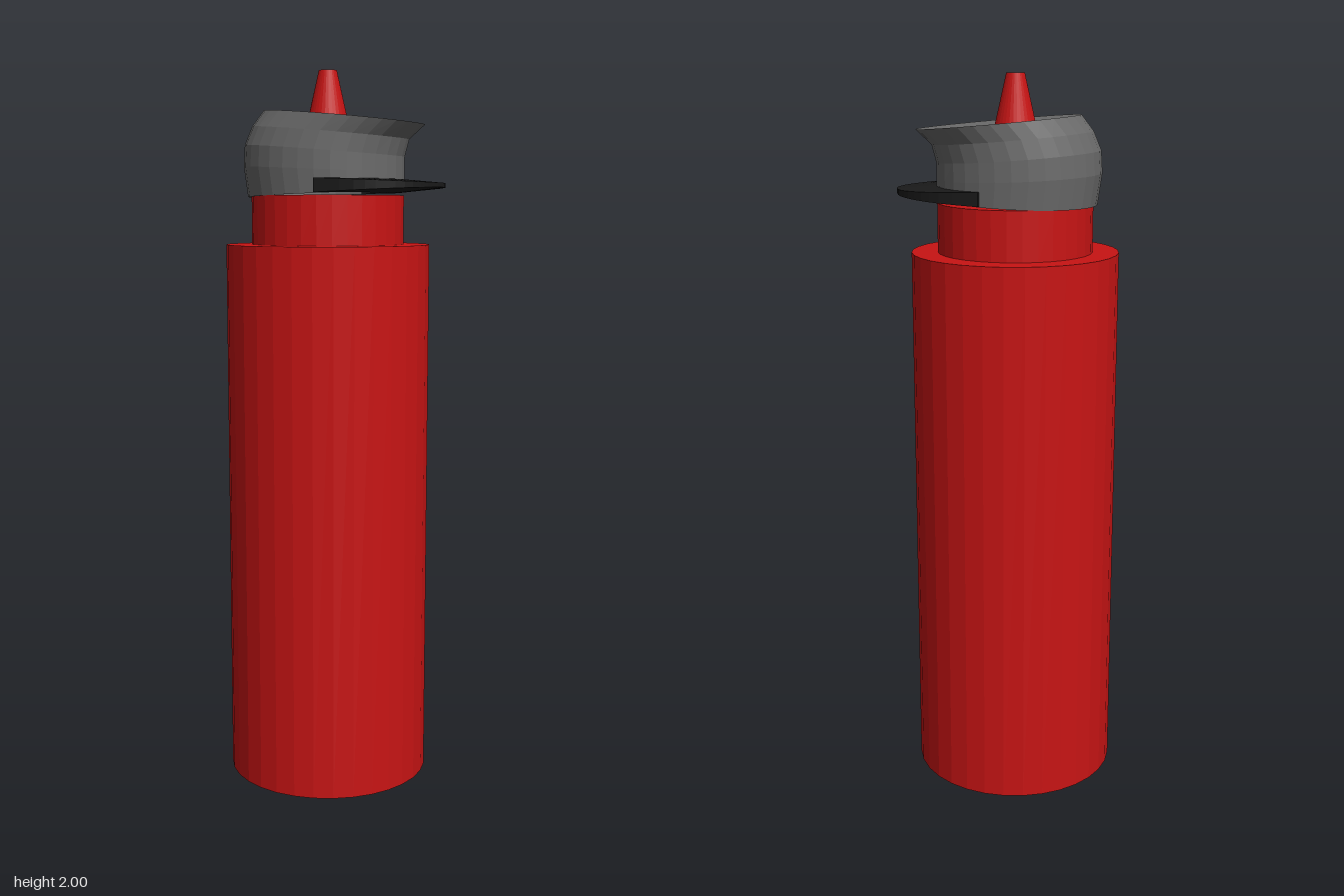
import * as THREE from 'three';

const AXIS = -0.025;
const material = (color) => new THREE.MeshStandardMaterial({ color, flatShading: true, side: THREE.DoubleSide });

// Closed rings of points, each joined to the next
function loft(rings, closed = false) {
  const n = rings[0].length, index = [];
  const count = closed ? rings.length : rings.length - 1;
  for (let r = 0; r < count; r++) {
    const s = (r + 1) % rings.length;
    for (let i = 0; i < n; i++) {
      const j = (i + 1) % n;
      const a = r * n + i, b = r * n + j, c = s * n + j, d = s * n + i;
      index.push(a, d, b, b, d, c);
    }
  }
  const geometry = new THREE.BufferGeometry();
  geometry.setAttribute('position', new THREE.Float32BufferAttribute(rings.flat(2), 3));
  geometry.setIndex(index);
  geometry.computeVertexNormals();
  return geometry;
}

// Tilted ellipse: x extents, heights at its two ends, half depth, z offset
function ring([x0, x1, y0, y1, rz, cz = 0], sides = 32) {
  return Array.from({ length: sides }, (_, i) => {
    const a = (i / sides) * Math.PI * 2, t = (1 + Math.cos(a)) / 2;
    return [x0 + (x1 - x0) * t, y0 + (y1 - y0) * t, cz + rz * Math.sin(a)];
  });
}

export function createModel() {
  const group = new THREE.Group();
  const red = material(0xc81414), grey = material(0x6a6a6a), black = material(0x1a1a1a);
  const add = (name, geometry, mat) => {
    const mesh = new THREE.Mesh(geometry, mat);
    mesh.name = name;
    group.add(mesh);
  };
  const round = (name, top, bottom, y0, y1) => {
    const geometry = new THREE.CylinderGeometry(top, bottom, y1 - y0, 32);
    geometry.rotateY(Math.PI / 2);
    geometry.translate(AXIS, (y0 + y1) / 2, 0);
    add(name, geometry, red);
  };

  // Bottle
  round('body', 0.285, 0.285, 0, 1.525);
  round('neck', 0.213, 0.213, 1.525, 1.66);
  round('nozzle', 0.025, 0.057, 1.86, 2);

  // Cap with flared rim and shallow dished top
  add('cap', loft([
    [-0.235, 0.18, 1.656, 1.672, 0.195],
    [-0.25, 0.19, 1.655, 1.672, 0.208],
    [-0.262, 0.19, 1.74, 1.72, 0.212],
    [-0.258, 0.19, 1.80, 1.765, 0.212],
    [-0.237, 0.202, 1.85, 1.812, 0.209, -0.003],
    [-0.205, 0.245, 1.893, 1.852, 0.211, -0.011],
    [-0.14, 0.17, 1.88, 1.85, 0.14, -0.015],
    [-0.07, 0.1, 1.872, 1.856, 0.08, -0.01],
    [0, 0, 1.866, 1.866, 0],
  ].map((r) => ring(r))), grey);

  // Crescent brim, wrapping the cap and thinning towards its edge
  const outer = new THREE.SplineCurve([
    [0.01, -0.214], [0.12, -0.209], [0.2, -0.18], [0.26, -0.13], [0.297, -0.06], [0.308, 0],
    [0.297, 0.06], [0.26, 0.13], [0.2, 0.18], [0.12, 0.209], [0.01, 0.214],
  ].map(([x, z]) => new THREE.Vector2(x, z))).getPoints(30);
  const profiles = outer.map((p, i) => {
    const a = (i / 30 - 0.5) * 2 * 1.4;
    const ix = AXIS + 0.2 * Math.cos(a), iz = 0.2 * Math.sin(a);
    const thin = Math.max(0, (p.x - 0.01) / 0.298);
    return [
      [ix, 1.705, iz],
      [p.x, 1.705 - 0.012 * thin, p.y],
      [p.x, 1.667 + 0.014 * thin, p.y],
      [ix, 1.667, iz],
    ];
  });
  // Collapsed end profiles close the two tips
  const tip = (profile) => profile.map(() => [0, 1, 2].map((k) => profile.reduce((s, p) => s + p[k] / 4, 0)));
  add('brim', loft([tip(profiles[0]), ...profiles, tip(profiles[30])]), black);

  return group;
}
